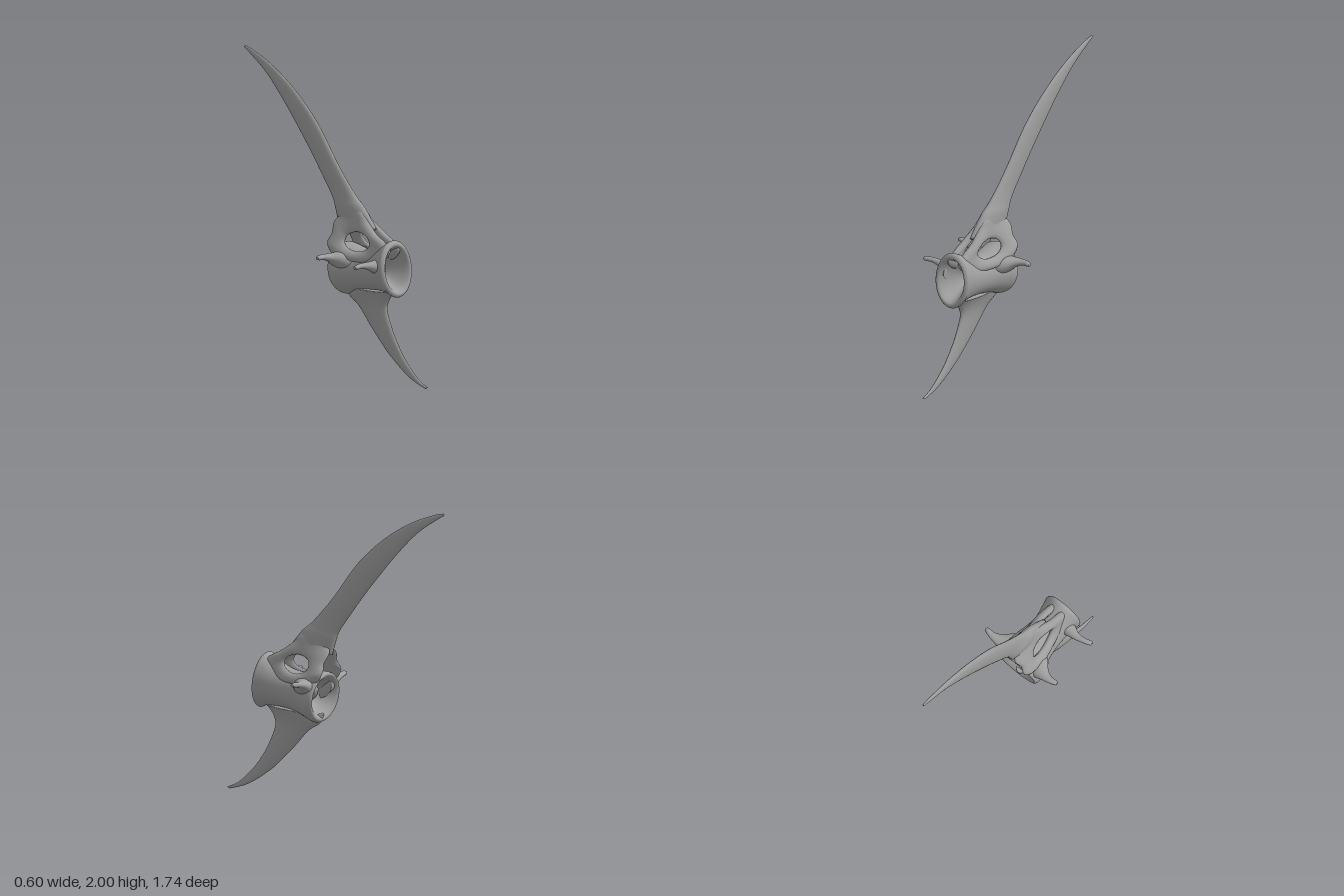
import * as THREE from 'three';

const TAU = Math.PI * 2;
const V = (x, y, z) => new THREE.Vector3(x, y, z);

// Catmull-Rom through rows of numbers, n steps per span
function smoothRows(rows, n, closed = false) {
  const count = rows.length, out = [];
  const at = (i) => rows[closed ? (i + count) % count : Math.min(Math.max(i, 0), count - 1)];
  const spans = closed ? count : count - 1;
  for (let i = 0; i < spans; i++) {
    const [a, b, c, d] = [at(i - 1), at(i), at(i + 1), at(i + 2)];
    for (let s = 0; s < n; s++) {
      const t = s / n;
      out.push(b.map((p, k) => {
        const cubic = 3 * (p - c[k]) + d[k] - a[k];
        const square = 2 * a[k] - 5 * p + 4 * c[k] - d[k];
        return p + 0.5 * t * (c[k] - a[k] + t * (square + t * cubic));
      }));
    }
  }
  if (!closed) out.push(rows[count - 1]);
  return out;
}

// Smooth skin over loops of points; ends are joined or capped, faces turned outward
function loft(loops, closed = false) {
  const m = loops[0].length, n = loops.length, points = loops.flat(), index = [];
  for (let i = 0; i < (closed ? n : n - 1); i++) {
    for (let j = 0; j < m; j++) {
      const k = (j + 1) % m, r = ((i + 1) % n) * m;
      const a = i * m + j, b = i * m + k, c = r + k, d = r + j;
      index.push(a, b, c, a, c, d);
    }
  }
  if (!closed) {
    [0, n - 1].forEach((i) => {
      const centre = V(0, 0, 0);
      loops[i].forEach((p) => centre.addScaledVector(p, 1 / m));
      const c = points.push(centre) - 1;
      for (let j = 0; j < m; j++) {
        const a = i * m + j, b = i * m + (j + 1) % m;
        if (i === 0) index.push(c, b, a); else index.push(c, a, b);
      }
    });
  }
  let volume = 0;
  for (let i = 0; i < index.length; i += 3) {
    const [a, b, c] = [points[index[i]], points[index[i + 1]], points[index[i + 2]]];
    volume += a.dot(b.clone().cross(c));
  }
  if (volume < 0) index.reverse();
  const geometry = new THREE.BufferGeometry().setFromPoints(points);
  geometry.setIndex(index);
  geometry.computeVertexNormals();
  return geometry;
}

const ring = (m, f) => Array.from({ length: m }, (_, j) => f(Math.cos(j / m * TAU), Math.sin(j / m * TAU)));

// Flat blade; rows are front edge z, y, back edge z, y, half width
const blade = (rows) => loft(smoothRows(rows, 6).map(([fz, fy, bz, by, w]) =>
  ring(24, (c, s) => V(w * s, (fy + by) / 2 + c * (fy - by) / 2, (fz + bz) / 2 + c * (fz - bz) / 2))));

// Sideways spur; rows are x, y, z, half height, half depth
const spur = (rows, side) => loft(smoothRows(rows, 5).map(([x, y, z, h, d]) =>
  ring(20, (c, s) => V(side * x, y + h * s, z + d * c))));

// One leaning side of the arch, looped around the oval window
function archSide(side) {
  const outline = [[0.56, 0.87], [0.5, 0.925], [0.42, 0.965], [0.34, 1.02], [0.24, 1.1], [0.12, 1.08],
    [0.03, 1.0], [0.045, 0.92], [0.035, 0.86], [0.09, 0.79], [0.27, 0.77], [0.47, 0.79]];
  const loops = smoothRows(outline, 5, true).map(([z, y]) => {
    const a = Math.atan2((y - 0.895) / 0.06, (z - 0.27) / 0.105);
    const iz = 0.27 + 0.105 * Math.cos(a), iy = 0.895 + 0.06 * Math.sin(a);
    return ring(14, (c, s) => {
      const pz = (z + iz) / 2 + c * (z - iz) / 2, py = (y + iy) / 2 + c * (y - iy) / 2;
      const lean = THREE.MathUtils.lerp(0.55, 0.1, THREE.MathUtils.clamp((pz - 0.05) / 0.45, 0, 1));
      const x = Math.min(0.11, Math.max(0.018, 0.03 + (1 - py) * lean));
      return V(side * (x + 0.027 * s), py, pz);
    });
  });
  return loft(loops, true);
}

export function createModel() {
  const model = new THREE.Group();
  model.name = 'vertebra';
  const bone = new THREE.MeshStandardMaterial({ color: 0x9e9e9e });
  bone.name = 'grey bone';
  const add = (name, geometry) => {
    const mesh = new THREE.Mesh(geometry, bone);
    mesh.name = name;
    model.add(mesh);
  };

  // Waisted body, cupped at both ends with a pinhole through; rows are z, rx, ry, centre y
  const body = [[0.57, 0.137, 0.185, 0.755], [0.53, 0.13, 0.17, 0.755], [0.42, 0.115, 0.135, 0.725],
    [0.3, 0.12, 0.13, 0.705], [0.2, 0.145, 0.15, 0.695], [0.12, 0.167, 0.17, 0.685],
    [0.085, 0.15, 0.15, 0.685], [0.13, 0.105, 0.105, 0.69], [0.25, 0.035, 0.035, 0.715],
    [0.32, 0.02, 0.018, 0.72], [0.4, 0.03, 0.04, 0.725], [0.5, 0.07, 0.11, 0.745],
    [0.582, 0.108, 0.152, 0.755]];
  add('body', loft(smoothRows(body, 5, true).map(([z, rx, ry, cy]) =>
    ring(48, (c, s) => V(rx * c, cy + ry * s, z - 0.14 * ry * s))), true));

  // Long upper spine sweeping backward
  add('upperSpine', blade([
    [0.38, 0.985, 0.03, 0.97, 0.045], [0.27, 1.11, 0.0, 1.07, 0.045], [0.2, 1.165, -0.02, 1.12, 0.036],
    [0.11, 1.255, -0.05, 1.165, 0.028], [0.0, 1.38, -0.1, 1.23, 0.027], [-0.18, 1.605, -0.25, 1.42, 0.026],
    [-0.39, 1.785, -0.47, 1.67, 0.021], [-0.6, 1.91, -0.65, 1.845, 0.015], [-0.78, 1.98, -0.79, 1.94, 0.01],
    [-0.86, 2.0, -0.87, 1.988, 0.006]]));

  // Shorter lower spine sweeping forward
  add('lowerSpine', blade([
    [0.56, 0.6, 0.1, 0.57, 0.07], [0.505, 0.54, 0.125, 0.51, 0.05], [0.485, 0.46, 0.22, 0.45, 0.034],
    [0.54, 0.33, 0.33, 0.335, 0.025], [0.6, 0.235, 0.43, 0.24, 0.021], [0.67, 0.15, 0.53, 0.155, 0.017],
    [0.78, 0.055, 0.7, 0.05, 0.012], [0.87, 0.013, 0.85, 0.002, 0.007]]));

  // Arch sides and rear side spurs, mirrored
  const rearSpur = [[0.07, 0.745, 0.19, 0.085, 0.1], [0.14, 0.765, 0.165, 0.055, 0.075],
    [0.19, 0.785, 0.14, 0.03, 0.043], [0.24, 0.797, 0.13, 0.018, 0.025],
    [0.28, 0.8, 0.135, 0.016, 0.019], [0.3, 0.8, 0.137, 0.009, 0.012]];
  for (const [side, label] of [[1, 'left'], [-1, 'right']]) {
    add(label + 'Arch', archSide(side));
    add(label + 'RearSpur', spur(rearSpur, side));
  }

  // Single forward spur on the right
  add('rightFrontSpur', spur([[0.08, 0.765, 0.5, 0.06, 0.06], [0.14, 0.78, 0.485, 0.035, 0.04],
    [0.19, 0.792, 0.475, 0.021, 0.025], [0.24, 0.8, 0.48, 0.016, 0.019],
    [0.28, 0.8, 0.492, 0.015, 0.018], [0.3, 0.8, 0.495, 0.009, 0.012]], -1));

  return model;
}
